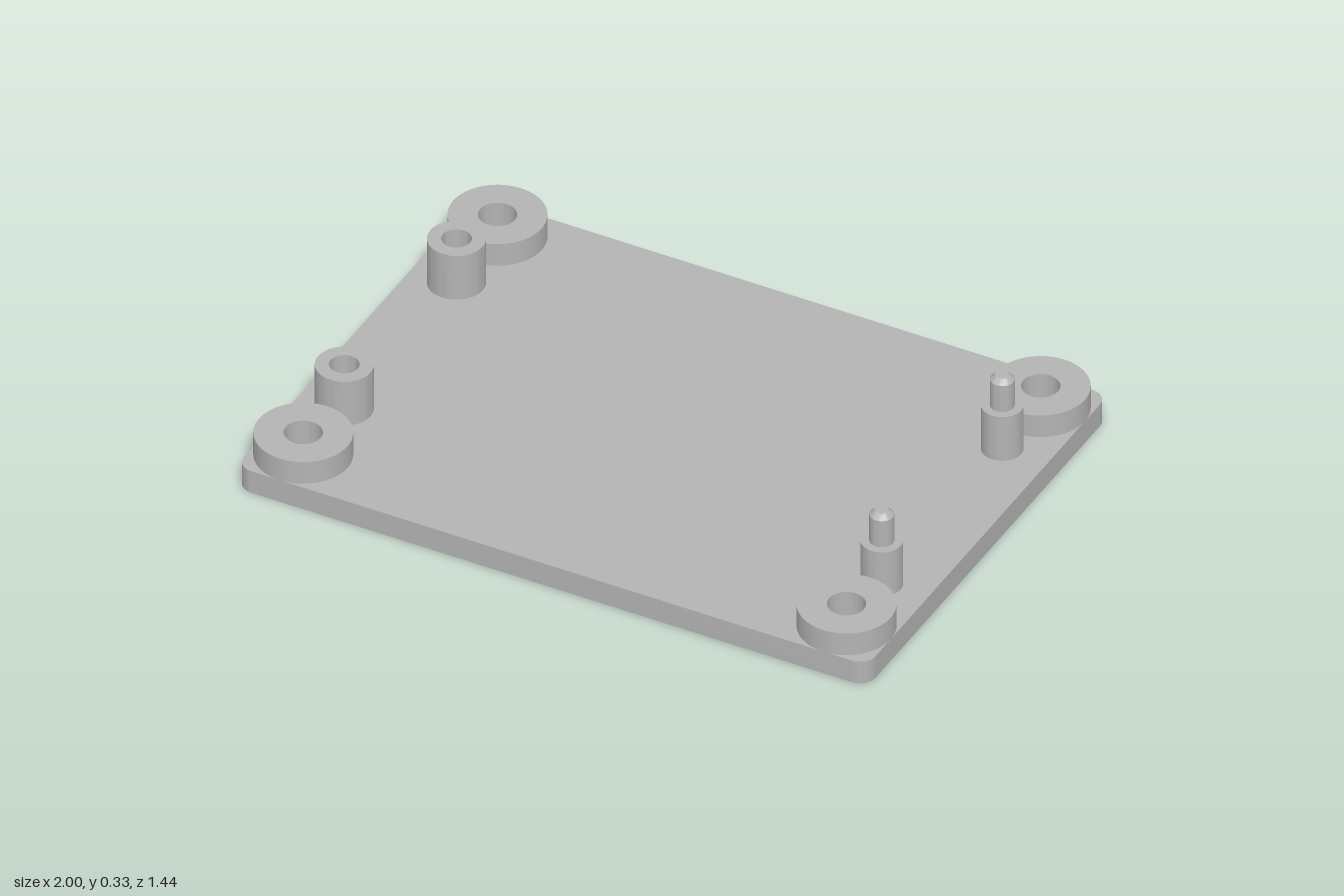
import * as THREE from 'three';
import { toCreasedNormals } from 'three/addons/utils/BufferGeometryUtils.js';

const PLATE_TOP = 0.075;
const HOLE_X = 0.86, HOLE_Z = 0.58, BORE = 0.1;

// Turned part from [radius, height] pairs, with sharp edges kept
function turned(profile) {
  const pts = profile.map(([r, y]) => new THREE.Vector2(r, y));
  return toCreasedNormals(new THREE.LatheGeometry(pts, 64), 0.5);
}

// Rounded rectangular plate with a wide bore in each corner
function plateGeometry() {
  const w = 1, d = 0.72, r = 0.05;
  const s = new THREE.Shape();
  s.absarc(w - r, d - r, r, 0, Math.PI / 2);
  s.absarc(-w + r, d - r, r, Math.PI / 2, Math.PI);
  s.absarc(-w + r, -d + r, r, Math.PI, Math.PI * 1.5);
  s.absarc(w - r, -d + r, r, Math.PI * 1.5, Math.PI * 2);
  for (const x of [-HOLE_X, HOLE_X]) for (const z of [-HOLE_Z, HOLE_Z]) {
    s.holes.push(new THREE.Path().absarc(x, z, BORE, 0, Math.PI * 2, true));
  }
  const g = new THREE.ExtrudeGeometry(s, { depth: PLATE_TOP, bevelEnabled: false, curveSegments: 32 });
  g.rotateX(-Math.PI / 2);
  return toCreasedNormals(g, 0.5);
}

export function createModel() {
  const group = new THREE.Group();
  const grey = new THREE.MeshStandardMaterial({ color: 0xb3b3b3 });
  grey.name = 'grey';

  const add = (name, geometry, x = 0, z = 0) => {
    const mesh = new THREE.Mesh(geometry, grey);
    mesh.name = name;
    mesh.position.set(x, 0, z);
    group.add(mesh);
  };

  add('basePlate', plateGeometry());

  // Corner boss: narrow screw hole above a counterbore open at the bottom
  const boss = turned([
    [0.055, 0.055], [BORE, 0.055], [BORE, PLATE_TOP], [0.14, PLATE_TOP],
    [0.14, 0.15], [0.055, 0.15], [0.055, 0.055],
  ]);
  // Hollow standoff
  const socket = turned([
    [0.083, PLATE_TOP], [0.083, 0.227], [0.043, 0.227], [0.043, PLATE_TOP + 0.005], [0, PLATE_TOP + 0.005],
  ]);
  // Stepped standoff with a chamfered locating pin
  const pin = turned([
    [0.06, PLATE_TOP], [0.06, 0.227], [0.035, 0.227], [0.035, 0.317], [0.02, 0.332], [0, 0.332],
  ]);

  for (const side of [-1, 1]) {
    const end = side < 0 ? 'Back' : 'Front';
    add('boss' + end + 'Right', boss, -HOLE_X, side * HOLE_Z);
    add('boss' + end + 'Left', boss, HOLE_X, side * HOLE_Z);
    add('hollowStandoff' + end, socket, -0.86, side * 0.335);
    add('pinStandoff' + end, pin, 0.855, side * 0.36);
  }
  return group;
}
